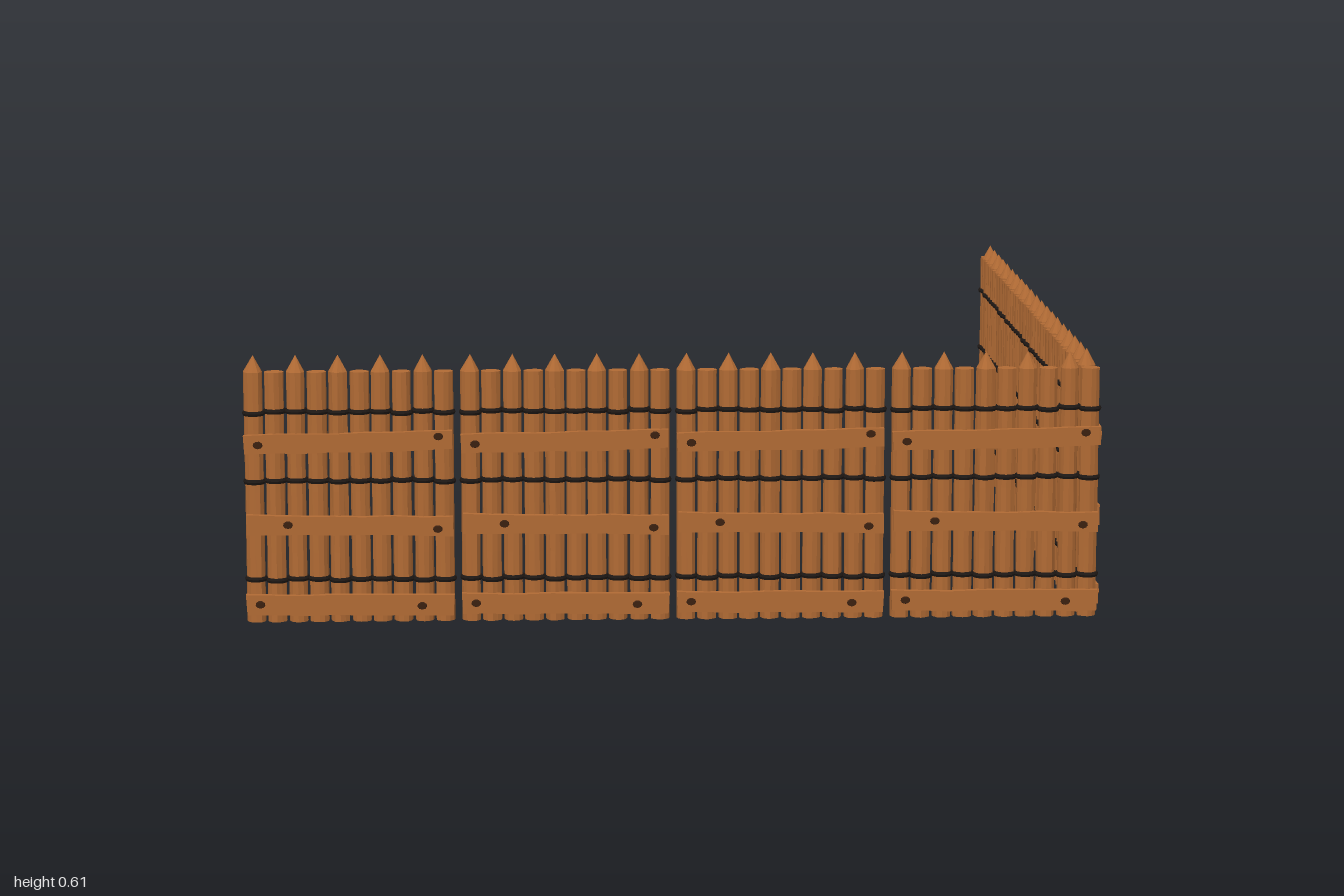
import * as THREE from 'three';

const wood = new THREE.MeshStandardMaterial({ color: 0xb06a34, flatShading: true });
const rope = new THREE.MeshStandardMaterial({ color: 0x1e1815, flatShading: true });
const knotDark = new THREE.MeshStandardMaterial({ color: 0x3a2010, flatShading: true });

const POSTS = 10, PITCH = 0.0475, PANELS = 4, PANEL_PITCH = 0.487;

// small seeded random, -1..1
let seed = 7;
const rand = () => {
  seed = (seed * 16807) % 2147483647;
  return (seed / 2147483647) * 2 - 1;
};

function add(parent, name, geometry, material, x = 0, y = 0, z = 0) {
  const mesh = new THREE.Mesh(geometry, material);
  mesh.name = name;
  mesh.position.set(x, y, z);
  parent.add(mesh);
  return mesh;
}

// rough-hewn log, either sawn flat or sharpened to a point
function postGeometry(pointed) {
  const sides = 11, r = 0.0215;
  const profile = [[0, 0], [r, 0], [r, 0.16], [r, 0.3], [r, 0.44], [r, 0.572], [0, pointed ? 0.61 : 0.572]]
    .map(([x, y]) => new THREE.Vector2(x, y));
  const geo = new THREE.LatheGeometry(profile, sides);
  const pos = geo.attributes.position;
  const ridge = Array.from({ length: sides }, () => 1 + rand() * 0.07);
  const rough = Array.from({ length: sides * profile.length }, () => rand() * 0.04);
  for (let i = 0; i <= sides; i++) {
    for (let j = 0; j < profile.length; j++) {
      const k = i * profile.length + j;
      const s = ridge[i % sides] + rough[(i % sides) * profile.length + j];
      pos.setX(k, pos.getX(k) * s);
      pos.setZ(k, pos.getZ(k) * s);
    }
  }
  return geo;
}

// board with a slightly wavering outline
function plankGeometry(x0, x1, yLeft, yRight, height) {
  const top = [], bottom = [], steps = 7;
  for (let i = 0; i <= steps; i++) {
    const t = i / steps, x = x0 + (x1 - x0) * t, y = yLeft + (yRight - yLeft) * t;
    top.push(new THREE.Vector2(x + rand() * 0.002, y + height / 2 + rand() * 0.002));
    bottom.push(new THREE.Vector2(x + rand() * 0.002, y - height / 2 + rand() * 0.002));
  }
  const shape = new THREE.Shape([...bottom, ...top.reverse()]);
  return new THREE.ExtrudeGeometry(shape, { depth: 0.016, bevelEnabled: false });
}

// shared geometries, so every panel repeats the same pattern
const postGeos = Array.from({ length: POSTS }, (_, i) => postGeometry(i % 2 === 0));
const ringGeo = new THREE.TorusGeometry(0.0215, 0.0047, 6, 14).rotateX(Math.PI / 2);
const knotGeo = new THREE.CylinderGeometry(0.0075, 0.01, 0.009, 9).rotateX(Math.PI / 2);
const ringOffsets = Array.from({ length: POSTS * 3 }, () => rand() * 0.0025);
const plankGeos = [
  plankGeometry(-0.021, 0.446, 0.41, 0.419, 0.043),
  plankGeometry(-0.02, 0.445, 0.227, 0.222, 0.043),
  plankGeometry(-0.021, 0.447, 0.042, 0.04, 0.046),
];
const knots = [[0.01, 0.41], [0.415, 0.428], [0.075, 0.227], [0.412, 0.216], [0.01, 0.044], [0.375, 0.039]];

// one panel: ten logs, rope lashings and three boards on the outer face
function createPanel(knotMaterial) {
  const panel = new THREE.Group();
  panel.name = 'fencePanel';
  for (let i = 0; i < POSTS; i++) {
    add(panel, i % 2 ? 'flatPost' : 'pointedPost', postGeos[i], wood, i * PITCH);
    [0.098, 0.324, 0.481].forEach((y, k) => {
      const ring = add(panel, 'ropeLashing', ringGeo, rope, i * PITCH, y + ringOffsets[i * 3 + k]);
      ring.scale.y = 1.35;
    });
  }
  for (const geo of plankGeos) add(panel, 'plank', geo, wood, 0, 0, 0.018);
  for (const [x, y] of knots) {
    const knot = add(panel, 'knot', knotGeo, knotMaterial, x, y, 0.0345);
    knot.scale.x = 1.25;
  }
  return panel;
}

// straight run of panels along local +x
function createRun(name, knotMaterial) {
  const run = new THREE.Group();
  run.name = name;
  for (let k = 0; k < PANELS; k++) {
    const panel = createPanel(knotMaterial);
    panel.position.x = k * PANEL_PITCH;
    run.add(panel);
  }
  return run;
}

export function createModel() {
  const model = new THREE.Group();
  model.name = 'palisadeCorner';

  const front = createRun('frontFence', knotDark);
  front.position.set(-0.95, 0, 0.956);
  model.add(front);

  // left run turns the corner and heads to the back
  const side = createRun('leftFence', wood);
  side.position.set(0.935, 0, 0.914);
  side.rotation.y = Math.PI / 2;
  model.add(side);

  return model;
}
